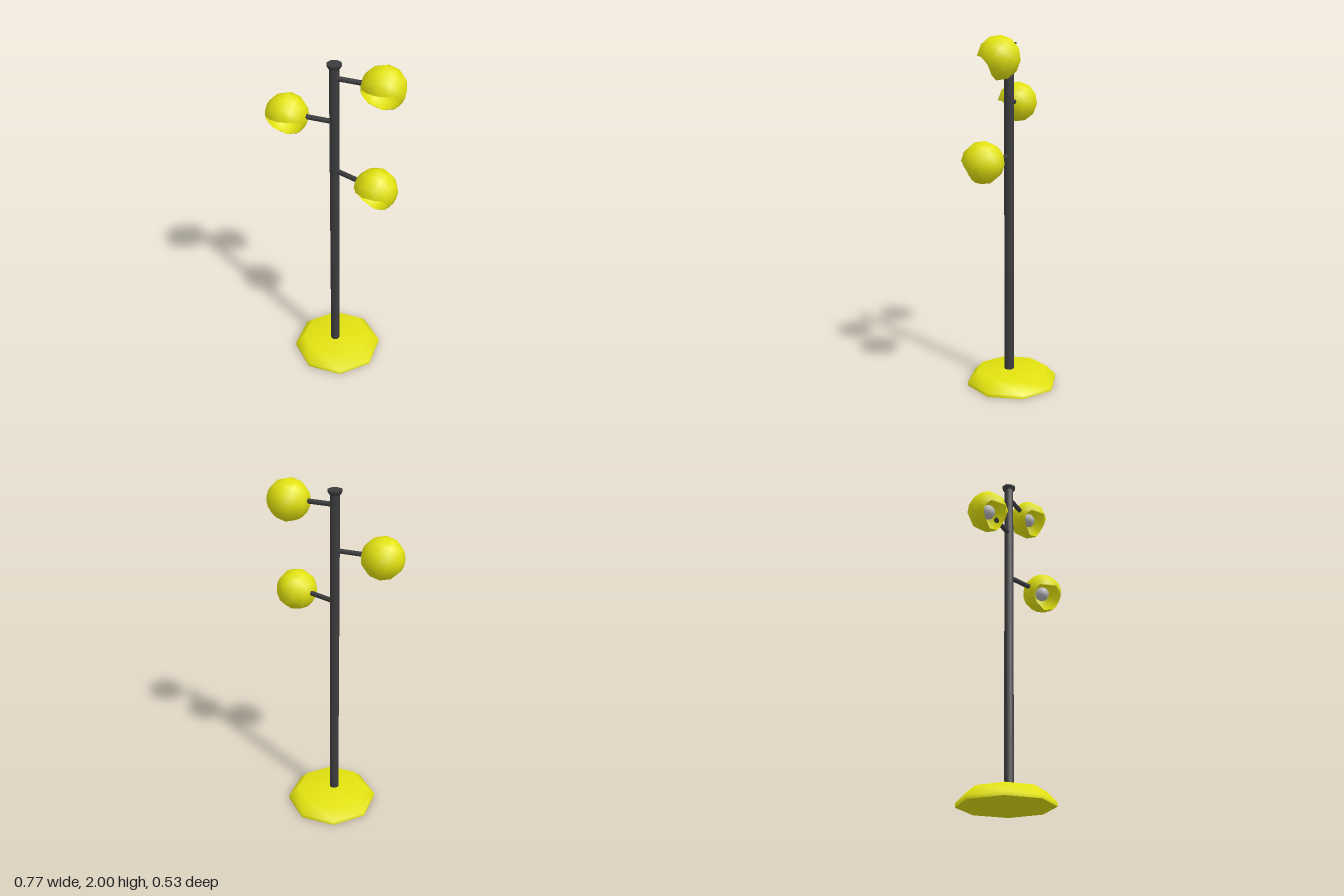
import * as THREE from 'three';

const yellow = new THREE.MeshStandardMaterial({ color: 0xe2e210, side: THREE.DoubleSide });
yellow.name = 'yellow enamel';
const charcoal = new THREE.MeshStandardMaterial({ color: 0x3c3c3e });
charcoal.name = 'charcoal metal';
const grey = new THREE.MeshStandardMaterial({ color: 0xb8b8b8 });
grey.name = 'grey bulb';

const R = 0.117; // shade radius

function add(parent, name, geometry, material, x = 0, y = 0, z = 0) {
  const mesh = new THREE.Mesh(geometry, material);
  mesh.name = name;
  mesh.position.set(x, y, z);
  parent.add(mesh);
  return mesh;
}

// Ball shade with poles on the x axis and its lower front quarter cut away.
// Each column is [angle around x in degrees, distance from the axis where the shell ends].
function shadeGeometry() {
  const columns = [[-83, R], [-76, 0.09], [-66, 0.066], [-45, 0.05], [-20, 0.053], [3, 0.072]];
  for (let i = 0; i <= 9; i++) columns.push([5 + (272 * i) / 9, R]);
  const rings = 3, pos = [], nor = [], index = [];
  for (const side of [1, -1]) {
    const start = pos.length / 3;
    for (const [deg, reach] of columns) {
      const phi = THREE.MathUtils.degToRad(deg);
      const end = Math.asin(reach / R);
      for (let k = 0; k <= rings; k++) {
        const t = (end * k) / rings;
        const n = [side * Math.cos(t), Math.sin(t) * Math.sin(phi), Math.sin(t) * Math.cos(phi)];
        nor.push(...n);
        pos.push(...n.map((v) => v * R));
      }
    }
    for (let j = 0; j < columns.length - 1; j++) {
      for (let k = 0; k < rings; k++) {
        const a = start + j * (rings + 1) + k, b = a + 1, d = a + rings + 1, c = d + 1;
        if (side > 0) index.push(a, c, b, a, d, c);
        else index.push(a, b, c, a, c, d);
      }
    }
  }
  const g = new THREE.BufferGeometry();
  g.setAttribute('position', new THREE.Float32BufferAttribute(pos, 3));
  g.setAttribute('normal', new THREE.Float32BufferAttribute(nor, 3));
  g.setIndex(index);
  return g;
}

export function createModel() {
  const model = new THREE.Group();
  model.name = 'floorLamp';
  const px = -0.016, pz = 0.021;

  // Octagonal weighted base
  const profile = [[0.265, 0], [0.265, 0.022], [0.208, 0.08], [0, 0.08]].map(([x, y]) => new THREE.Vector2(x, y));
  add(model, 'base', new THREE.LatheGeometry(profile, 8), yellow, px, 0, 0);
  const underside = new THREE.CircleGeometry(0.265, 8).rotateX(Math.PI / 2);
  add(model, 'baseUnderside', underside, yellow, px, 0, 0);

  // Pole and its flared cap
  const pole = new THREE.CylinderGeometry(0.028, 0.028, 1.88, 8).rotateY(Math.PI / 8);
  add(model, 'pole', pole, charcoal, px, 1.015, pz);
  const flare = new THREE.CylinderGeometry(0.041, 0.03, 0.018, 8).rotateY(Math.PI / 8);
  add(model, 'poleCap', flare, charcoal, px, 1.952, pz);
  const rim = new THREE.CylinderGeometry(0.041, 0.041, 0.009, 8).rotateY(Math.PI / 8);
  add(model, 'poleCapRim', rim, charcoal, px, 1.9645, pz);

  // Three lamps: height, turn about the pole, side and reach of the arm
  const shade = shadeGeometry();
  const bulb = new THREE.SphereGeometry(0.042, 12, 8);
  const lamps = [
    ['upperLamp', 1.884, 20, 1, 0.264],
    ['middleLamp', 1.633, 21, -1, 0.269],
    ['lowerLamp', 1.335, 2, 1, 0.282],
  ];
  for (const [name, y, turn, side, reach] of lamps) {
    const lamp = new THREE.Group();
    lamp.name = name;
    lamp.position.set(px, y, pz);
    lamp.rotation.y = THREE.MathUtils.degToRad(turn);
    model.add(lamp);
    const length = reach - 0.1;
    const arm = new THREE.CylinderGeometry(0.014, 0.014, length, 8).rotateZ(Math.PI / 2);
    add(lamp, 'arm', arm, charcoal, (side * length) / 2, 0.005, 0);
    add(lamp, 'shade', shade, yellow, side * reach, 0, 0);
    add(lamp, 'bulb', bulb, grey, side * reach, -0.004, 0);
  }
  return model;
}
